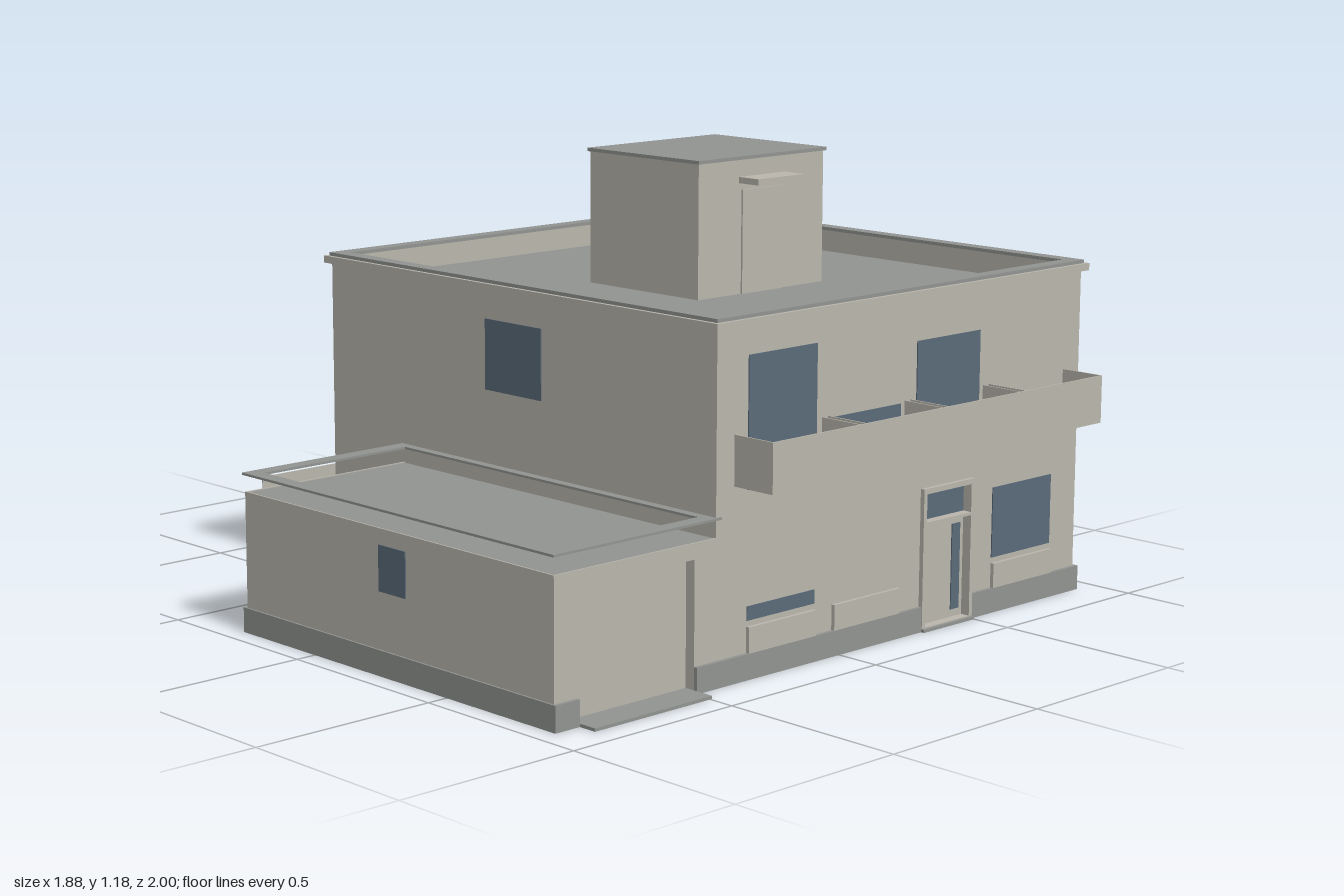
import * as THREE from 'three';

const mat = (name, color) => {
  const m = new THREE.MeshStandardMaterial({ color });
  m.name = name;
  return m;
};

export function createModel() {
  const model = new THREE.Group();
  model.name = 'house';
  const render = mat('beige render', 0xbab6ac);
  const grey = mat('grey concrete', 0x929492);
  const glass = mat('blue glass', 0x5a6b79);
  const T = 0.004; // thickness of shell walls

  // Box given by its extents
  function box(parent, name, m, x0, x1, y0, y1, z0, z1) {
    const mesh = new THREE.Mesh(new THREE.BoxGeometry(x1 - x0, y1 - y0, z1 - z0), m);
    mesh.position.set((x0 + x1) / 2, (y0 + y1) / 2, (z0 + z1) / 2);
    mesh.name = name;
    parent.add(mesh);
    return mesh;
  }
  function group(name) {
    const g = new THREE.Group();
    g.name = name;
    model.add(g);
    return g;
  }
  // Horizontal rectangular ring, w wide
  function ring(parent, name, m, x0, x1, z0, z1, w, y0, y1) {
    box(parent, name, m, x0, x1, y0, y1, z0, z0 + w);
    box(parent, name, m, x0, x1, y0, y1, z1 - w, z1);
    box(parent, name, m, x0, x0 + w, y0, y1, z0 + w, z1 - w);
    box(parent, name, m, x1 - w, x1, y0, y1, z0 + w, z1 - w);
  }
  // Upright plate facing +z with rectangular holes [x0, x1, y0, y1]
  function plate(parent, name, m, [x0, x1, y0, y1], holes, z0, z1) {
    const rect = (C, a, b, c, d) => {
      const s = new C();
      s.moveTo(a, c); s.lineTo(b, c); s.lineTo(b, d); s.lineTo(a, d); s.closePath();
      return s;
    };
    const shape = rect(THREE.Shape, x0, x1, y0, y1);
    holes.forEach(h => shape.holes.push(rect(THREE.Path, ...h)));
    const mesh = new THREE.Mesh(new THREE.ExtrudeGeometry(shape, { depth: z1 - z0, bevelEnabled: false }), m);
    mesh.position.z = z0;
    mesh.name = name;
    parent.add(mesh);
  }

  // Main block: open shell, recessed roof and parapet
  const X0 = -0.425, X1 = 0.925, Z0 = -0.57, Z1 = 0.87;
  const main = group('mainBlock');
  plate(main, 'frontWall', render, [X0, X1, 0, 0.87], [[0.305, 0.5, 0.002, 0.37]], Z1 - T, Z1);
  box(main, 'backWall', render, X0, X1, 0, 0.87, Z0, Z0 + T);
  box(main, 'leftWall', render, X1 - T, X1, 0, 0.87, Z0 + T, Z1 - T);
  box(main, 'rightWall', render, X0, X0 + T, 0, 0.87, Z0 + T, Z1 - T);
  box(main, 'roof', grey, X0 + T, X1 - T, 0.815, 0.82, Z0 + T, Z1 - T);
  ring(main, 'parapet', render, X0 + T, X1 - T, Z0 + T, Z1 - T, 0.031, 0.82, 0.879);
  ring(main, 'cornice', render, -0.44, 0.94, -0.585, 0.885, 0.04, 0.86, 0.879);
  ring(main, 'parapetCap', grey, -0.43, 0.93, -0.575, 0.875, 0.04, 0.879, 0.888);

  // Garage: shell, roof and raised rim
  const garage = group('garage');
  plate(garage, 'garageFrontWall', render, [-0.94, X0, 0, 0.365], [[-0.87, -0.495, 0.002, 0.325]], Z1 - T, Z1);
  box(garage, 'garageBackWall', render, -0.94, X0, 0, 0.365, -0.28, -0.28 + T);
  box(garage, 'garageSideWall', render, -0.94, -0.94 + T, 0, 0.365, -0.28 + T, Z1 - T);
  box(garage, 'garageRoof', grey, -0.94 + T, X0, 0.357, 0.363, -0.28 + T, Z1 - T);
  ring(garage, 'garageRim', grey, -0.945, -0.41, -0.285, 0.875, 0.04, 0.408, 0.414);
  plate(garage, 'garageReveal', render, [-0.875, -0.49, 0, 0.33], [[-0.87, -0.495, 0.002, 0.325]], 0.84, Z1 - T);
  box(garage, 'garageDoor', render, -0.87, -0.495, 0.008, 0.325, 0.838, 0.842);
  box(garage, 'garageApron', grey, -0.87, -0.495, 0, 0.008, 0.84, 0.93);

  // Plinth, broken at the doors
  const plinth = group('plinth');
  const H = 0.065;
  [[-0.945, -0.87], [-0.495, 0.305], [0.5, 0.935]].forEach(([a, b]) =>
    box(plinth, 'plinthFront', grey, a, b, 0, H, Z1, 0.88));
  box(plinth, 'plinthLeft', grey, X1, 0.935, 0, H, -0.58, Z1);
  box(plinth, 'plinthBack', grey, -0.435, X1, 0, H, -0.58, Z0);
  box(plinth, 'plinthRight', grey, -0.435, X0, 0, H, Z0, -0.29);
  box(plinth, 'plinthGarageBack', grey, -0.945, X0, 0, H, -0.29, -0.28);
  box(plinth, 'plinthGarageSide', grey, -0.945, -0.94, 0, H, -0.28, Z1);

  // Windows as thin plates
  const windows = group('windows');
  [[-0.32, -0.085, 0.465, 0.79], [-0.02, 0.22, 0.465, 0.6], [0.28, 0.52, 0.465, 0.75],
    [-0.32, -0.085, 0.145, 0.18], [0.585, 0.82, 0.145, 0.33]].forEach(([a, b, c, d]) =>
    box(windows, 'frontWindow', glass, a, b, c, d, Z1, Z1 + 0.003));
  [[0.605, 0.787], [0.145, 0.325]].forEach(([c, d]) => {
    box(windows, 'leftWindow', glass, X1, X1 + 0.003, c, d, 0.05, 0.26);
    [[0.44, 0.65], [-0.145, 0.065]].forEach(([a, b]) =>
      box(windows, 'backWindow', glass, a, b, c, d, Z0 - 0.003, Z0));
  });
  box(windows, 'rightWindow', glass, X0 - 0.003, X0, 0.605, 0.787, 0.05, 0.26);
  box(windows, 'garageWindow', glass, -0.943, -0.94, 0.21, 0.325, 0.25, 0.35);

  // Low panels beneath the ground-floor windows
  [[-0.32, -0.085], [-0.02, 0.22], [0.585, 0.82]].forEach(([a, b]) =>
    box(main, 'sillPanel', render, a, b, H, 0.13, Z1, 0.88));

  // Front door with transom and glazed strip
  const door = group('frontDoor');
  plate(door, 'doorFrame', render, [0.305, 0.5, 0, 0.37],
    [[0.317, 0.488, 0.01, 0.275], [0.317, 0.488, 0.283, 0.356]], 0.845, 0.882);
  box(door, 'doorLeaf', render, 0.317, 0.488, 0.01, 0.275, 0.85, 0.856);
  box(door, 'doorGlass', glass, 0.443, 0.474, 0.03, 0.255, 0.856, 0.859);
  box(door, 'transom', glass, 0.317, 0.488, 0.283, 0.356, 0.85, 0.856);
  box(door, 'doorStep', grey, 0.305, 0.5, 0, 0.008, 0.845, 0.89);

  // Balcony: open-bottomed front screen with paired dividers
  const balcony = group('balcony');
  box(balcony, 'balconyFront', render, -0.365, 0.865, 0.48, 0.605, 0.991, 0.995);
  [-0.365, -0.064, -0.042, 0.237, 0.259, 0.537, 0.559, 0.861].forEach(x =>
    box(balcony, 'balconyDivider', render, x, x + T, 0.48, 0.605, Z1, 0.991));

  // Rear terrace with a raised screen
  const terrace = group('terrace');
  box(terrace, 'terraceSlab', grey, -0.35, 0.85, 0.01, 0.025, -1, -0.575);
  box(terrace, 'terraceScreen', render, -0.35, 0.85, 0.075, 0.195, -1, -0.997);

  // Roof stair tower with door and canopy
  const tower = group('stairTower');
  box(tower, 'towerWalls', render, 0.02, 0.48, 0.82, 1.167, -0.04, 0.36);
  box(tower, 'towerCap', grey, 0.015, 0.487, 1.167, 1.176, -0.047, 0.365);
  box(tower, 'towerDoor', render, 0.175, 0.32, 0.82, 1.09, 0.36, 0.365);
  box(tower, 'towerCanopy', render, 0.165, 0.333, 1.107, 1.123, 0.36, 0.43);

  return model;
}
